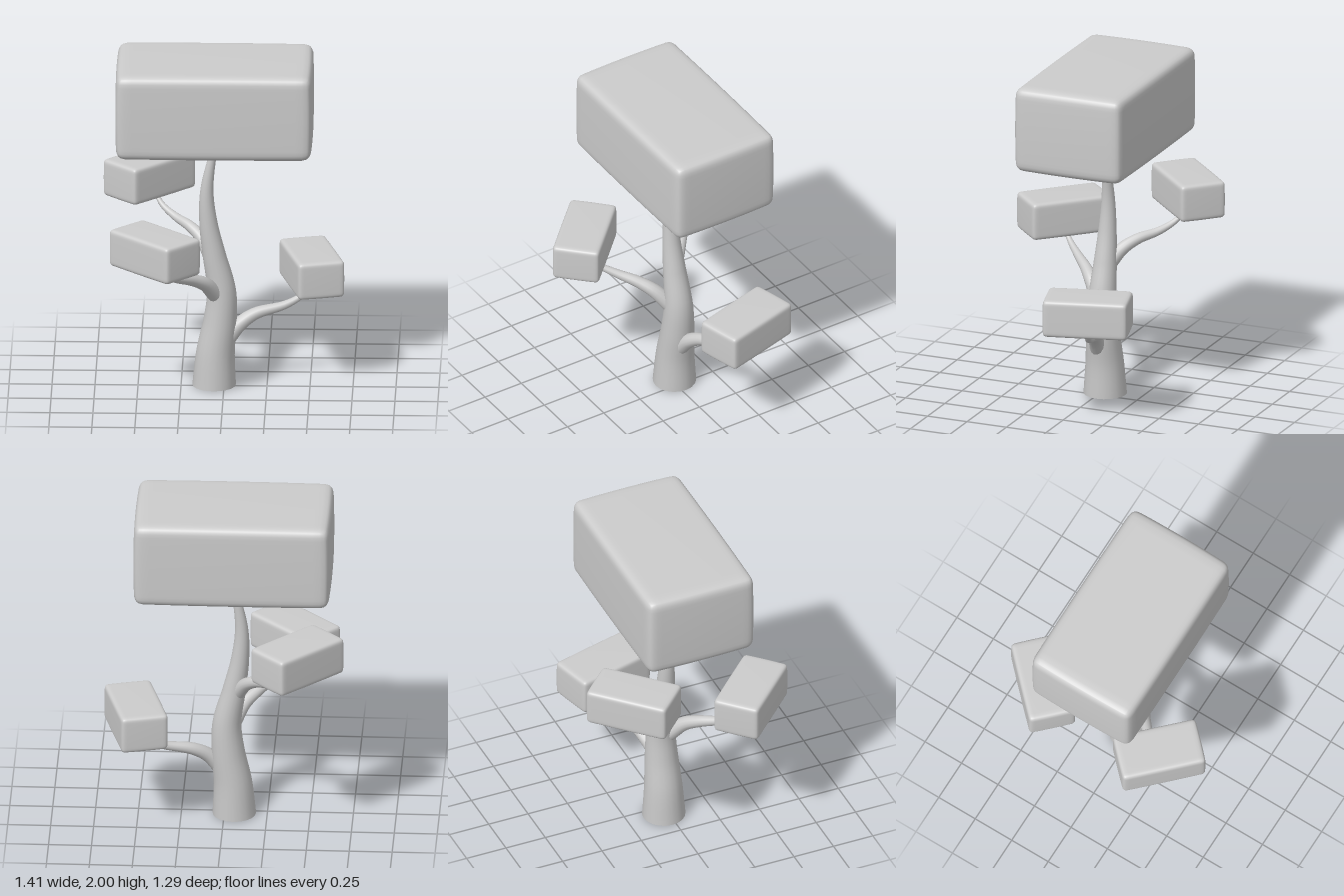
import * as THREE from 'three';
import { mergeVertices } from 'three/addons/utils/BufferGeometryUtils.js';

const material = new THREE.MeshStandardMaterial({ color: 0xcccccc });
const openMaterial = new THREE.MeshStandardMaterial({ color: 0xcccccc, side: THREE.DoubleSide });

// Smooth tube along a curve, tapering from r0 to r1
function limb(name, points, r0, r1, rings, sides) {
  const curve = new THREE.CatmullRomCurve3(points.map(p => new THREE.Vector3(...p)));
  const geo = new THREE.TubeGeometry(curve, rings, 1, sides, false);
  const pos = geo.attributes.position;
  const v = new THREE.Vector3();
  for (let i = 0; i <= rings; i++) {
    const centre = curve.getPointAt(i / rings);
    const r = THREE.MathUtils.lerp(r0, r1, i / rings);
    for (let j = 0; j <= sides; j++) {
      const k = i * (sides + 1) + j;
      v.fromBufferAttribute(pos, k).sub(centre).multiplyScalar(r).add(centre);
      pos.setXYZ(k, v.x, name === 'trunk' && i === 0 ? 0 : v.y, v.z);
    }
  }
  const mesh = new THREE.Mesh(geo, openMaterial);
  mesh.name = name;
  return mesh;
}

// Soft foliage block: rounded edges and faintly bulging faces
function foliage(name, size, centre, turn, radius, bulge) {
  let geo = new THREE.BoxGeometry(2, 2, 2, 20, 20, 20);
  geo.deleteAttribute('uv');
  geo.deleteAttribute('normal');
  geo = mergeVertices(geo);
  const half = new THREE.Vector3(...size).multiplyScalar(0.5);
  const core = half.clone().subScalar(radius);
  const pos = geo.attributes.position;
  const v = new THREE.Vector3(), inner = new THREE.Vector3();
  const ease = t => Math.sign(t) * (1 - (1 - Math.abs(t)) ** 2);
  for (let i = 0; i < pos.count; i++) {
    v.set(ease(pos.getX(i)), ease(pos.getY(i)), ease(pos.getZ(i))).multiply(half);
    inner.copy(v).clamp(core.clone().negate(), core);
    v.sub(inner).setLength(radius).add(inner);
    const [a, b, c] = [v.x / half.x, v.y / half.y, v.z / half.z].map(t => t * t);
    pos.setXYZ(i, v.x * (1 - bulge * (b + c)), v.y * (1 - bulge * (a + c)), v.z * (1 - bulge * (a + b)));
  }
  geo.computeVertexNormals();
  const mesh = new THREE.Mesh(geo, material);
  mesh.name = name;
  mesh.position.set(...centre);
  mesh.rotation.y = THREE.MathUtils.degToRad(turn);
  return mesh;
}

export function createModel() {
  const tree = new THREE.Group();
  tree.name = 'tree';

  // Swaying trunk, open at the base
  tree.add(limb('trunk', [
    [-0.058, 0, -0.024], [-0.05, 0.2, -0.024], [-0.022, 0.4, -0.024], [-0.015, 0.58, -0.024],
    [-0.058, 0.8, -0.024], [-0.092, 1.0, -0.024], [-0.1, 1.2, -0.024], [-0.045, 1.52, -0.024],
  ], 0.127, 0.014, 40, 20));

  // Three side branches
  tree.add(limb('leftBranch', [
    [0.02, 0.29, -0.015], [0.09, 0.37, -0.03], [0.18, 0.425, -0.06],
    [0.35, 0.465, -0.1], [0.45, 0.51, -0.14], [0.53, 0.58, -0.18],
  ], 0.05, 0.01, 24, 14));
  tree.add(limb('frontBranch', [
    [-0.05, 0.57, 0.015], [-0.11, 0.655, 0.085], [-0.18, 0.7, 0.15],
    [-0.27, 0.74, 0.24], [-0.35, 0.79, 0.325], [-0.405, 0.86, 0.39],
  ], 0.05, 0.01, 24, 14));
  tree.add(limb('backBranch', [
    [-0.075, 0.78, -0.035], [-0.13, 0.87, -0.1], [-0.2, 0.92, -0.17],
    [-0.29, 0.95, -0.26], [-0.37, 1.0, -0.335], [-0.42, 1.08, -0.395],
  ], 0.046, 0.01, 24, 14));

  // Crown and the blocks at the branch tips
  tree.add(foliage('crownFoliage', [1.15, 0.52, 0.685], [-0.055, 1.74, -0.025], 0, 0.05, 0.01));
  const small = [0.5, 0.225, 0.28];
  tree.add(foliage('leftFoliage', small, [0.507, 0.675, -0.16], -75, 0.024, 0.008));
  tree.add(foliage('frontFoliage', small, [-0.393, 0.952, 0.382], -45, 0.024, 0.008));
  tree.add(foliage('backFoliage', small, [-0.443, 1.172, -0.382], 45, 0.024, 0.008));
  return tree;
}
